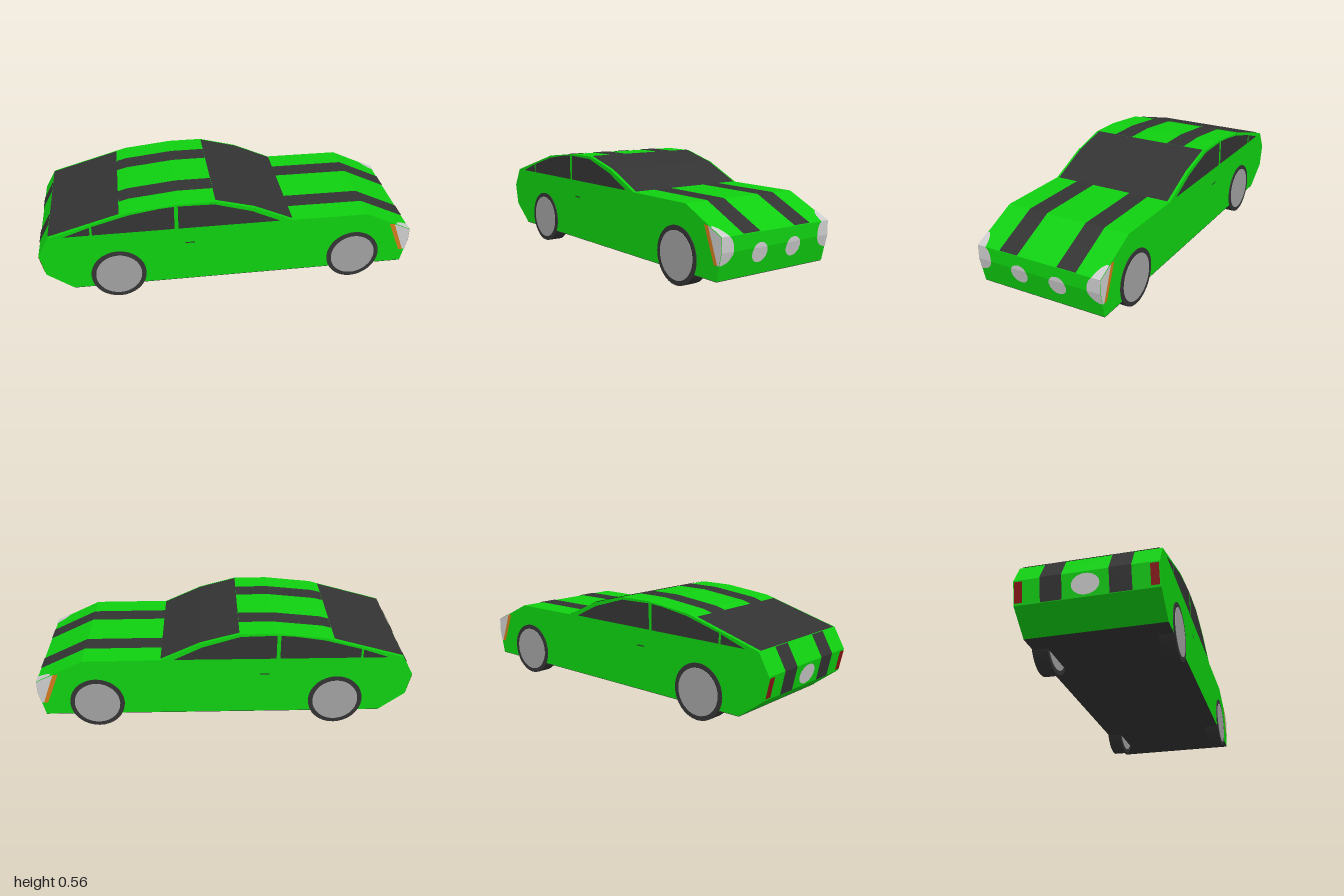
import * as THREE from 'three';

const mat = (name, color, side = THREE.DoubleSide) => {
  const m = new THREE.MeshStandardMaterial({ color, side });
  m.name = name;
  return m;
};

export function createModel() {
  const car = new THREE.Group();
  car.name = 'car';
  const green = mat('green paint', 0x0fd010, THREE.FrontSide);
  const black = mat('black trim', 0x333333);
  const hubGrey = mat('hub grey', 0xa0a0a0);
  const lampGrey = mat('lamp grey', 0xcccccc);
  const orange = mat('indicator orange', 0xd07a1c);
  const red = mat('tail light red', 0x8c1414);

  const add = (name, geometry, material) => {
    const mesh = new THREE.Mesh(geometry, material);
    mesh.name = name;
    car.add(mesh);
    return mesh;
  };
  const shapeOf = pts => new THREE.Shape(pts.map(p => new THREE.Vector2(...p)));

  // Body side profile, nose at +x
  const HALF = 0.35;
  const profile = [
    [-0.84, 0.078], [0.97, 0.078], [1, 0.21], [1, 0.283], [0.75, 0.403], [0.338, 0.405],
    [0.13, 0.5], [-0.075, 0.555], [-0.26, 0.555], [-0.52, 0.527], [-0.94, 0.407],
    [-1, 0.3], [-0.975, 0.18],
  ];
  const bodyGeo = new THREE.ExtrudeGeometry(shapeOf(profile), { depth: 2 * HALF, bevelEnabled: false });
  bodyGeo.translate(0, 0, -HALF);
  add('body', bodyGeo, green);

  const floor = new THREE.PlaneGeometry(1.81, 2 * HALF);
  floor.rotateX(Math.PI / 2);
  add('underside', floor, black).position.set(0.065, 0.0755, 0);

  // Thin skin over the bodywork: rows of [x, y, z0, z1], shifted outwards
  const skin = (name, rows, material, dx, dy) => {
    const pos = [];
    for (let i = 0; i < rows.length - 1; i++) {
      const [a, b, c, d] = [[i, 2], [i, 3], [i + 1, 3], [i + 1, 2]]
        .map(([r, k]) => [rows[r][0] + dx, rows[r][1] + dy, rows[r][k]]);
      pos.push(...a, ...b, ...c, ...a, ...c, ...d);
    }
    const g = new THREE.BufferGeometry();
    g.setAttribute('position', new THREE.Float32BufferAttribute(pos, 3));
    g.computeVertexNormals();
    return add(name, g, material);
  };
  const band = (name, pts, z0, z1, material, dx, dy) =>
    skin(name, pts.map(p => [...p, z0, z1]), material, dx, dy);

  // Windscreen and rear window
  band('windscreen', [[0.338, 0.405], [0.13, 0.5], [-0.075, 0.555]], -0.336, 0.336, black, 0.001, 0.003);
  band('rearWindow', [[-0.57, 0.513], [-0.94, 0.407]], -0.336, 0.336, black, -0.001, 0.003);

  // Outline of the nose: x for a given height
  const noseX = y => y > 0.283 ? 1 - (y - 0.283) * 2.083 : y > 0.21 ? 1 : 0.97 + (y - 0.078) * 0.2273;
  const lampRows = [[0.32, 0.338], [0.31, 0.32], [0.297, 0.309], [0.283, 0.303], [0.265, 0.288], [0.245, 0.279],
    [0.21, 0.276], [0.195, 0.28], [0.175, 0.293], [0.16, 0.312], [0.151, 0.337]];
  const fogHeights = [0.235, 0.23, 0.222, 0.21, 0.187, 0.165, 0.152, 0.144, 0.139, 0.137];

  for (const s of [1, -1]) {
    const side = s > 0 ? 'left' : 'right';
    const stripe = (name, pts, dx, dy) => band(name, pts, s * 0.113, s * 0.219, black, dx, dy);
    // Racing stripes
    stripe('hoodStripe', [[0.338, 0.405], [0.75, 0.403], [1, 0.283]], 0.001, 0.003);
    stripe('roofStripe', [[-0.075, 0.555], [-0.26, 0.555], [-0.52, 0.527], [-0.57, 0.513]], 0, 0.003);
    stripe('tailStripe', [[-0.94, 0.407], [-1, 0.3], [-0.975, 0.18]], -0.003, 0.001);

    // Headlight wraps from hood edge to nose; round fog light below
    skin('headlight', lampRows.map(([y, z]) => [noseX(y), y, s * z, s * 0.351]), lampGrey, 0.002, 0.002);
    skin('fogLight', fogHeights.map(y => {
      const w = Math.sqrt(Math.max(0, 0.049 ** 2 - (y - 0.186) ** 2));
      return [noseX(y), y, s * 0.11 - w, s * 0.11 + w];
    }), lampGrey, 0.002, 0);
    band('tailLight', [[-0.999, 0.292], [-0.977, 0.19]], s * 0.305, s * 0.345, red, -0.003, 0);

    // Flat plates on the flanks
    const plate = (name, pts, material) => {
      add(name, new THREE.ShapeGeometry(shapeOf(pts)), material).position.z = s * (HALF + 0.002);
    };
    plate(side + 'QuarterWindow', [[-0.865, 0.408], [-0.727, 0.408], [-0.727, 0.456]], black);
    plate(side + 'RearSideWindow', [[-0.715, 0.408], [-0.29, 0.408], [-0.29, 0.544], [-0.36, 0.539],
      [-0.52, 0.514], [-0.715, 0.46]], black);
    plate(side + 'FrontSideWindow', [[-0.27, 0.408], [0.27, 0.408], [0.2, 0.442], [0.12, 0.481],
      [-0.08, 0.541], [-0.27, 0.545]], black);
    plate(side + 'DoorHandle', [[-0.237, 0.312], [-0.185, 0.312], [-0.185, 0.318], [-0.237, 0.318]], black);
    plate(side + 'SideLamp', [[0.91, 0.325], [0.975, 0.152], [0.987, 0.152], [1, 0.21], [1, 0.283]], lampGrey);
    plate(side + 'Indicator', [[0.883, 0.327], [0.91, 0.325], [0.975, 0.152], [0.953, 0.152]], orange);

    // Wheels
    for (const [x, end] of [[0.688, 'Front'], [-0.596, 'Rear']]) {
      const wheel = new THREE.Group();
      wheel.name = side + end + 'Wheel';
      for (const [name, r, w, m] of [['tyre', 0.146, 0.08, black], ['hub', 0.122, 0.084, hubGrey]]) {
        const g = new THREE.CylinderGeometry(r, r, w, 32);
        g.rotateX(Math.PI / 2);
        const mesh = new THREE.Mesh(g, m);
        mesh.name = name;
        wheel.add(mesh);
      }
      wheel.position.set(x, 0.146, s * 0.315);
      car.add(wheel);
    }
  }

  // Rounded badge plate in the middle of the tail
  const badge = [];
  for (let i = 0; i <= 12; i++) {
    const a = (i / 12) * Math.PI;
    const y = 0.24 + 0.05 * Math.cos(a);
    const w = 0.068 * Math.sin(a);
    badge.push([-0.975 - (y - 0.18) * 0.2083, y, -w, w]);
  }
  skin('tailPlate', badge, lampGrey, -0.003, 0);

  return car;
}
